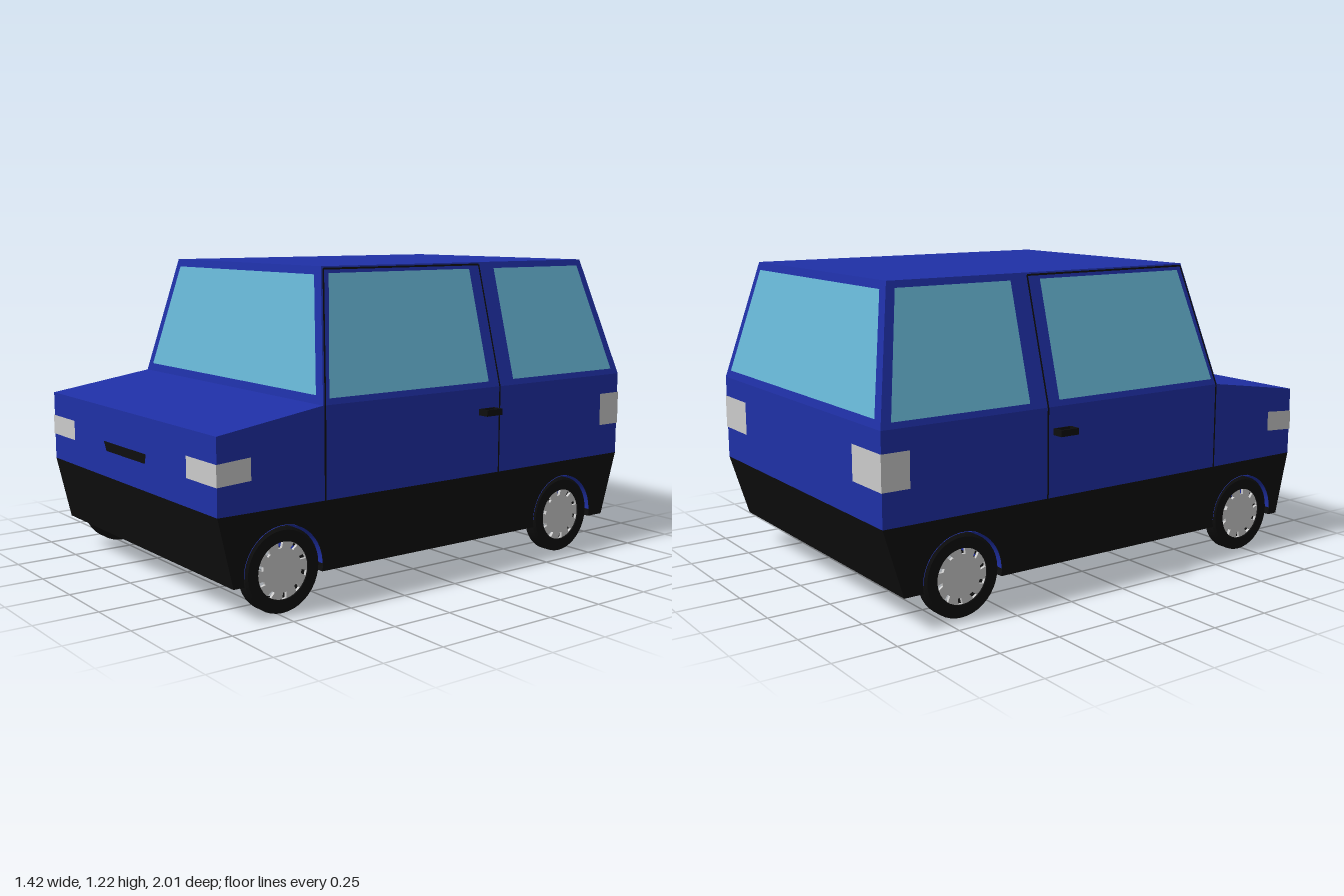
import * as THREE from 'three';
import { toCreasedNormals } from 'three/addons/utils/BufferGeometryUtils.js';
import { ConvexGeometry } from 'three/addons/geometries/ConvexGeometry.js';

const mat = (color) => new THREE.MeshStandardMaterial({ color, side: THREE.DoubleSide });
const HALF = 0.663, BELT = 0.735, ROOF = 1.22, SILL = 0.39;
const WHEEL_Y = 0.16, TYRE_R = 0.157, ARCH_R = 0.168, WHEELS_Z = [-0.675, 0.73];
const GAP = 0.003; // panels sit just proud of the body

export function createModel() {
  const car = new THREE.Group();
  car.name = 'car';
  const blue = mat(0x1f30a6), black = mat(0x0e0e0e), glass = mat(0x67b6d5), grey = mat(0xcccccc);

  const add = (name, geometry, material, parent = car) => {
    const mesh = new THREE.Mesh(geometry, material);
    mesh.name = name;
    parent.add(mesh);
    return mesh;
  };
  // extrude a (z, y) outline across the width
  const across = (shape, width) => new THREE.ExtrudeGeometry(shape, { depth: width, bevelEnabled: false, curveSegments: 32 })
    .translate(0, 0, -width / 2).rotateY(-Math.PI / 2);
  // flat four-cornered panel
  const panel = (name, material, corners) => {
    const g = new THREE.BufferGeometry();
    g.setAttribute('position', new THREE.Float32BufferAttribute(corners.flat(), 3));
    g.setIndex([0, 1, 2, 0, 2, 3]);
    g.computeVertexNormals();
    return add(name, g, material);
  };
  // surface positions at a given height
  const rise = (y) => Math.max(0, (y - BELT) / (ROOF - BELT));
  const sideX = (y) => HALF - 0.138 * rise(y) + GAP;
  const screenZ = (y) => 0.56 - 0.09 * rise(y) + GAP;
  const tailZ = (y) => -1 + 0.11 * rise(y) - GAP;
  const sidePanel = (name, material, s, zy) =>
    panel(name, material, zy.map(([z, y]) => [s * sideX(y), y, z]));

  // lower body with wheel arches cut through
  const lower = new THREE.Shape();
  lower.moveTo(-1, SILL).lineTo(-0.92, 0.13);
  const a = Math.asin((WHEEL_Y - 0.13) / ARCH_R);
  for (const z of WHEELS_Z) lower.absarc(z, WHEEL_Y, ARCH_R, Math.PI + a, -a, true);
  lower.lineTo(0.94, 0.13).lineTo(1, SILL);
  add('lowerBody', across(lower, HALF * 2), black);

  // arch linings
  for (const z of WHEELS_Z) {
    const g = new THREE.CylinderGeometry(ARCH_R - 0.002, ARCH_R - 0.002, HALF * 2, 32, 1, true, 0, Math.PI);
    add('archLining', g.rotateZ(Math.PI / 2).translate(0, WHEEL_Y, z), blue);
  }

  // upper body with sloping bonnet
  const upper = new THREE.Shape();
  upper.moveTo(-1, SILL).lineTo(1, SILL).lineTo(1, 0.67).lineTo(0.56, BELT).lineTo(-1, BELT);
  add('upperBody', across(upper, HALF * 2), blue);

  // tapered cabin
  const corners = [];
  for (const s of [-1, 1]) {
    for (const [x, y, z] of [[HALF, BELT, 0.56], [HALF, BELT, -1], [0.525, ROOF, 0.47], [0.525, ROOF, -0.89]]) {
      corners.push(new THREE.Vector3(s * x, y, z));
    }
  }
  add('cabin', new ConvexGeometry(corners), blue);

  // front and rear glass
  for (const [name, zAt] of [['windscreen', screenZ], ['rearWindow', tailZ]]) {
    panel(name, glass, [[-0.615, 0.767], [0.615, 0.767], [0.495, 1.19], [-0.495, 1.19]].map(([x, y]) => [x, y, zAt(y)]));
  }

  // grille slot
  panel('grille', black, [[-0.17, 0.495], [0.15, 0.495], [0.16, 0.532], [-0.19, 0.532]].map(([x, y]) => [x, y, 1 + GAP]));

  for (const s of [-1, 1]) {
    // side windows
    sidePanel('frontSideWindow', glass, s, [[0.53, 0.758], [-0.245, 0.758], [-0.245, 1.195], [0.442, 1.195]]);
    sidePanel('rearSideWindow', glass, s, [[-0.378, 0.758], [-0.957, 0.758], [-0.862, 1.195], [-0.378, 1.195]]);

    // door seam as thin strips
    const seam = [[0.552, SILL], [0.552, BELT], [0.463, 1.211], [-0.3, 1.211], [-0.3, BELT], [-0.3, SILL]];
    for (let i = 0; i < seam.length - 1; i++) {
      const [z0, y0] = seam[i], [z1, y1] = seam[i + 1];
      const k = 0.0035 / Math.hypot(z1 - z0, y1 - y0);
      const dz = -(y1 - y0) * k, dy = (z1 - z0) * k;
      sidePanel('doorSeam', black, s, [[z0 - dz, y0 - dy], [z1 - dz, y1 - dy], [z1 + dz, y1 + dy], [z0 + dz, y0 + dy]]);
    }

    // lamps wrapping round the corners
    const e = HALF + GAP;
    sidePanel('headlampSide', grey, s, [[1 + GAP, 0.495], [0.865, 0.503], [0.865, 0.585], [1 + GAP, 0.575]]);
    sidePanel('tailLampSide', grey, s, [[-1 - GAP, 0.52], [-0.89, 0.52], [-0.89, 0.655], [-1 - GAP, 0.655]]);
    for (const [name, z, y0, y1] of [['headlamp', 1 + GAP, 0.495, 0.575], ['tailLamp', -1 - GAP, 0.52, 0.655]]) {
      panel(name, grey, [[s * 0.46, y0, z], [s * e, y0, z], [s * e, y1, z], [s * 0.46, y1, z]]);
    }

    // looped door handle
    const rect = (C, x, z) => new C([[-x, -z], [x, -z], [x, z], [-x, z]].map((p) => new THREE.Vector2(...p)));
    const loop = rect(THREE.Shape, 0.025, 0.041);
    loop.holes.push(rect(THREE.Path, 0.018, 0.034));
    const handle = new THREE.ExtrudeGeometry(loop, { depth: 0.025, bevelEnabled: false }).rotateX(Math.PI / 2);
    add('doorHandle', handle, black).position.set(s * 0.685, 0.654, -0.233);

    // wheels
    for (const z of WHEELS_Z) {
      const wheel = new THREE.Group();
      wheel.name = z > 0 ? 'frontWheel' : 'rearWheel';
      wheel.position.set(s * 0.628, WHEEL_Y, z);
      const profile = [[0.106, -0.03], [0.148, -0.03], [TYRE_R, -0.022], [TYRE_R, 0.022], [0.148, 0.03], [0.106, 0.03], [0.106, -0.03]];
      const tyre = new THREE.LatheGeometry(profile.map((p) => new THREE.Vector2(...p)), 40);
      add('tyre', toCreasedNormals(tyre.rotateZ(Math.PI / 2), 0.5), black, wheel);

      // hub disc with slots near the rim
      const disc = new THREE.Shape().absarc(0, 0, 0.108, 0, Math.PI * 2, false);
      for (let i = 0; i < 10; i++) {
        const t = (i + 0.3) / 10 * Math.PI * 2;
        const pt = (r, d) => new THREE.Vector2(r * Math.cos(t + d), r * Math.sin(t + d));
        disc.holes.push(new THREE.Path([pt(0.082, -0.08), pt(0.105, -0.02), pt(0.105, 0.16), pt(0.082, 0.1)]));
      }
      add('hub', across(disc, 0.012), grey, wheel).position.x = s * 0.018;
      car.add(wheel);
    }
  }
  return car;
}
